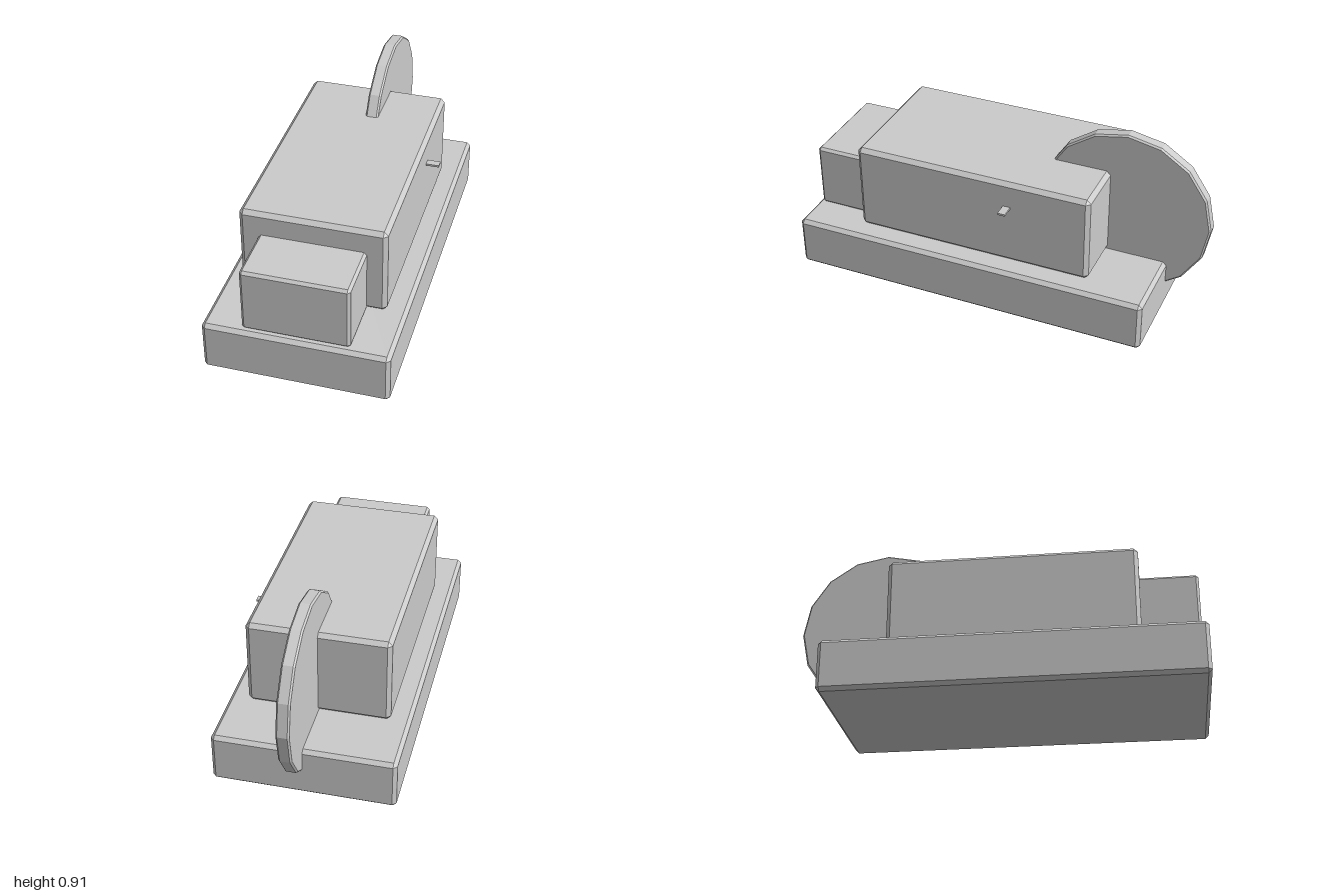
import * as THREE from 'three';
import { ConvexGeometry } from 'three/addons/geometries/ConvexGeometry.js';

const grey = new THREE.MeshStandardMaterial({ color: 0xcccccc, flatShading: true });

// Box with chamfered edges, given its extents and the chamfer size
function chamferBox(name, [x0, x1], [y0, y1], [z0, z1], c) {
  const h = [(x1 - x0) / 2, (y1 - y0) / 2, (z1 - z0) / 2];
  const points = [];
  for (const sx of [-1, 1]) for (const sy of [-1, 1]) for (const sz of [-1, 1]) {
    // each corner is cut into three points, one on each face
    for (let face = 0; face < 3; face++) {
      const p = h.map((v, i) => (i === face ? v : v - c));
      points.push(new THREE.Vector3(sx * p[0], sy * p[1], sz * p[2]));
    }
  }
  const mesh = new THREE.Mesh(new ConvexGeometry(points), grey);
  mesh.position.set((x0 + x1) / 2, (y0 + y1) / 2, (z0 + z1) / 2);
  mesh.name = name;
  return mesh;
}

// Sixteen-sided disc with chamfered rims, its axis along x
function chamferDisc(name, radius, width, c) {
  const w = width / 2;
  const profile = [[0, -w], [radius - c, -w], [radius, c - w], [radius, w - c], [radius - c, w], [0, w]]
    .map(([r, y]) => new THREE.Vector2(r, y));
  const mesh = new THREE.Mesh(new THREE.LatheGeometry(profile, 16), grey);
  mesh.rotation.z = -Math.PI / 2;
  mesh.name = name;
  return mesh;
}

export function createModel() {
  const model = new THREE.Group();
  model.name = 'machine';

  // Stacked housing
  model.add(chamferBox('base', [-0.44, 0.44], [0, 0.255], [-0.8, 1], 0.018));
  model.add(chamferBox('body', [-0.346, 0.346], [0.255, 0.697], [-0.5, 0.697], 0.02));
  model.add(chamferBox('frontBlock', [-0.253, 0.253], [0.255, 0.58], [0.6, 0.975], 0.013));

  // Wheel sunk into the back of the body and base
  const wheel = chamferDisc('wheel', 0.424, 0.063, 0.008);
  wheel.position.set(0.032, 0.488, -0.576);
  model.add(wheel);

  // Small lever on the left side
  const lever = new THREE.Mesh(new THREE.BoxGeometry(0.08, 0.01, 0.037), grey);
  lever.position.set(0.37, 0.563, -0.09);
  lever.name = 'lever';
  model.add(lever);

  return model;
}
